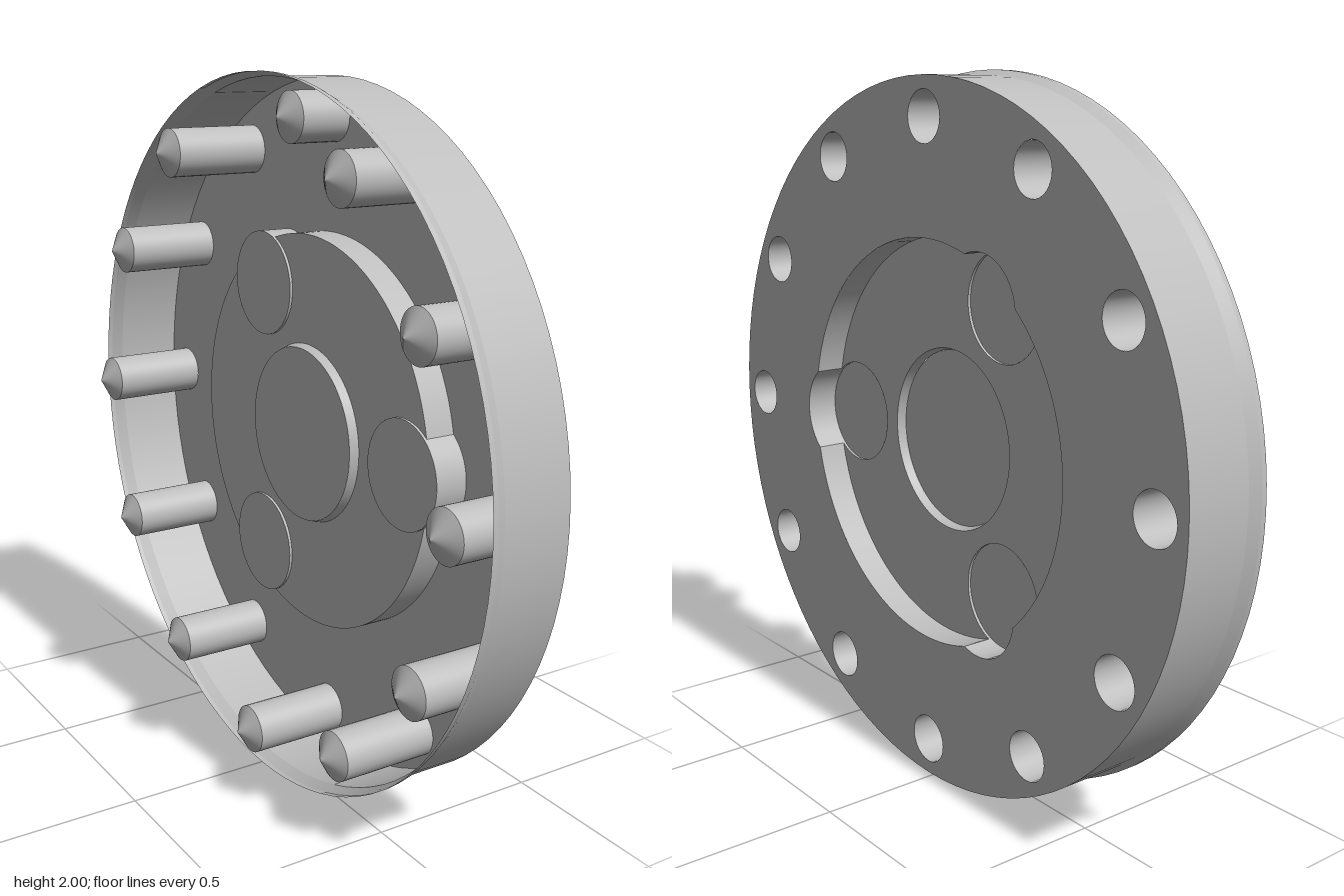
import * as THREE from 'three';

// Built along +z (cover face at z = FACE), then turned so that the face looks to +x.
const FACE = 0.16, FLOOR = 0.075, LOBE_FLOOR = 0.067, HUB_FLOOR = 0.05;
const RIM = 0.986, RECESS = 0.565, HUB = 0.258;
const LOBE_R = 0.15, LOBE_D = 0.46, PIN_R = 0.07, PIN_D = 0.88;

export function createModel() {
  const model = new THREE.Group();
  model.name = 'cover';
  const body = new THREE.Group();
  body.name = 'coverBody';
  body.rotation.y = Math.PI / 2;
  body.position.y = 1;
  model.add(body);

  const metal = new THREE.MeshStandardMaterial({ color: 0xbebebe, side: THREE.DoubleSide });
  metal.name = 'grey metal';

  const add = (name, geometry, x = 0, y = 0, z = 0) => {
    const mesh = new THREE.Mesh(geometry, metal);
    mesh.name = name;
    mesh.position.set(x, y, z);
    body.add(mesh);
  };
  // One straight step of a turned profile, from (r0, z0) to (r1, z1), between two angles
  const band = (name, r0, z0, r1, z1, x = 0, y = 0, from = 0, to = 2 * Math.PI, n = 96) => {
    const pts = [new THREE.Vector2(r0, z0), new THREE.Vector2(r1, z1)];
    const g = new THREE.LatheGeometry(pts, n, from + Math.PI / 2, to - from);
    add(name, g.rotateX(Math.PI / 2), x, y);
  };
  const disc = (name, r, z, x = 0, y = 0) => add(name, new THREE.CircleGeometry(r, 64), x, y, z);
  const circle = (x, y, r) => new THREE.Path().absarc(x, y, r, 0, 2 * Math.PI, true);

  // Where each lobe circle meets the recess circle, seen from both centres
  const a = Math.acos((LOBE_D ** 2 + RECESS ** 2 - LOBE_R ** 2) / (2 * LOBE_D * RECESS));
  const b = Math.atan2(RECESS * Math.sin(a), RECESS * Math.cos(a) - LOBE_D);
  const third = 2 * Math.PI / 3;
  const lobes = [0, 1, 2].map(i => {
    const t = Math.PI / 3 + i * third;
    return { t, x: LOBE_D * Math.cos(t), y: LOBE_D * Math.sin(t) };
  });
  // Recess outline with lobes bulging outwards, or bitten out of it
  const outline = (path, bitten) => {
    for (const { t, x, y } of lobes) {
      path.absarc(x, y, LOBE_R, t - b, t + b, bitten);
      path.absarc(0, 0, RECESS, t + a, t + third - a, false);
    }
    return path;
  };

  // Face plate with openings for the recess and the pin holes
  const plate = new THREE.Shape().absarc(0, 0, RIM, 0, 2 * Math.PI, false);
  plate.holes.push(outline(new THREE.Path(), false));
  const pins = Array.from({ length: 12 }, (_, i) => {
    const t = i * Math.PI / 6;
    return { x: PIN_D * Math.cos(t), y: PIN_D * Math.sin(t), depth: i === 3 ? 0.145 : 0.28 };
  });
  for (const { x, y } of pins) plate.holes.push(circle(x, y, PIN_R));
  add('facePlate', new THREE.ShapeGeometry(plate, 48), 0, 0, FACE);

  // Outer wall with a flared lip at the open back
  band('outerWall', RIM, -0.035, RIM, FACE);
  band('lipFlare', 1, -0.065, RIM, -0.035);
  band('lip', 1, -0.08, 1, -0.065);

  // Recess: floor, walls and the slightly deeper lobes
  const floor = outline(new THREE.Shape(), true);
  floor.holes.push(circle(0, 0, HUB));
  add('recessFloor', new THREE.ShapeGeometry(floor, 48), 0, 0, FLOOR);
  for (const { t, x, y } of lobes) {
    band('recessWall', RECESS, FLOOR, RECESS, FACE, 0, 0, t + a, t + third - a, 48);
    band('lobeWall', LOBE_R, LOBE_FLOOR, LOBE_R, FACE, x, y, t - b, t + b, 48);
    band('lobeStep', LOBE_R, LOBE_FLOOR, LOBE_R, FLOOR, x, y, t + b, t - b + 2 * Math.PI, 48);
    disc('lobeFloor', LOBE_R, LOBE_FLOOR, x, y);
  }

  // Central hub pocket
  band('hubWall', 0.25, HUB_FLOOR, HUB, FLOOR);
  disc('hubFloor', 0.25, HUB_FLOOR);

  // Drilled pins with conical tips; the top one is shorter
  for (const { x, y, depth } of pins) {
    const end = FACE - depth;
    band('pinSleeve', PIN_R, end, PIN_R, FACE, x, y, 0, 2 * Math.PI, 48);
    band('pinTip', 0, end - 0.043, PIN_R, end, x, y, 0, 2 * Math.PI, 48);
  }
  return model;
}
